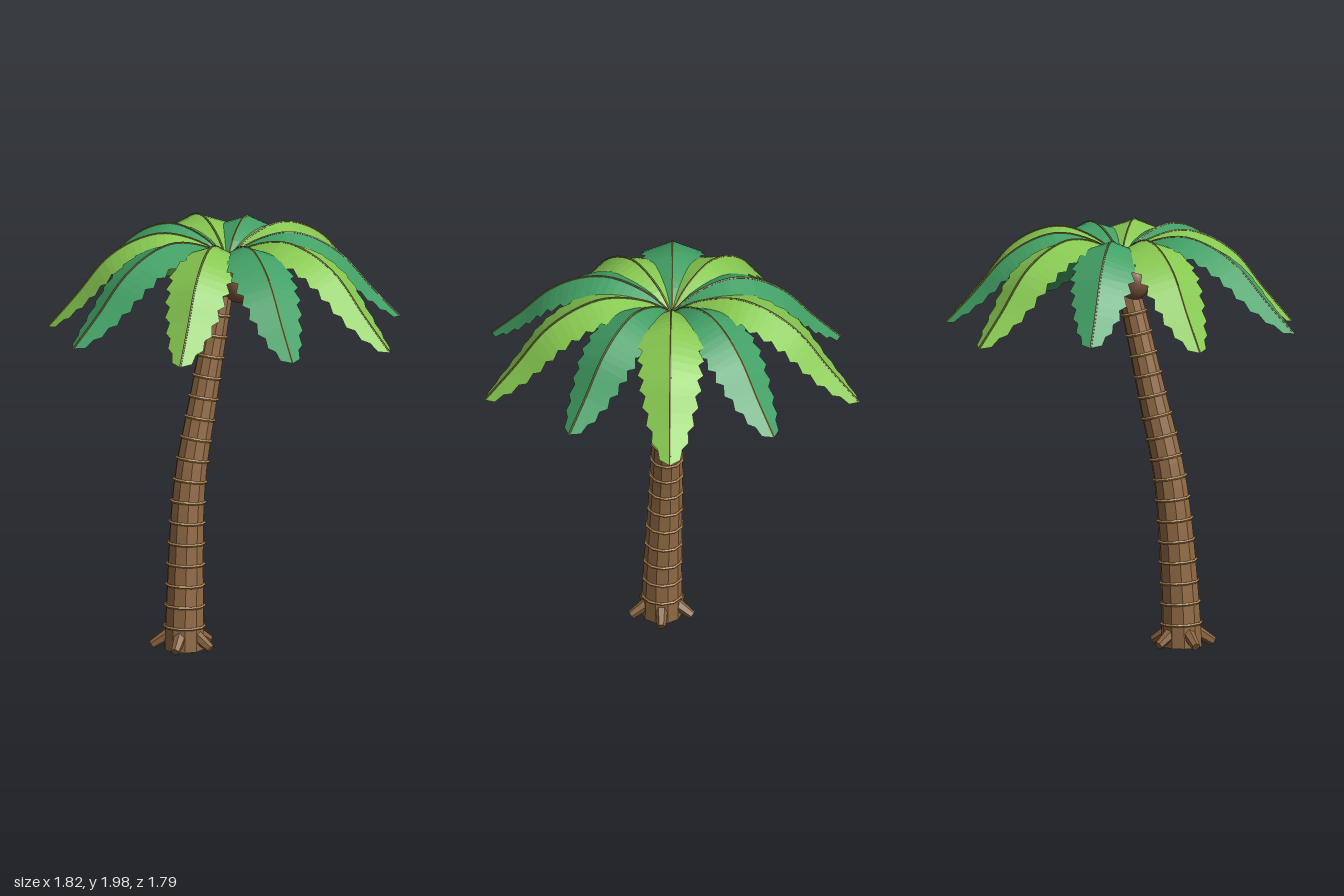
import * as THREE from 'three';

const mat = (color, flat = true) =>
  new THREE.MeshStandardMaterial({ color, flatShading: flat, side: THREE.DoubleSide });

const V = (x, y, z) => new THREE.Vector3(x, y, z);
const CROWN = V(0.02, 1.85, 0);

// Leaning trunk centre line and taper
const trunkLine = new THREE.CatmullRomCurve3([
  V(-0.28, 0, 0.05), V(-0.272, 0.25, 0.046), V(-0.23, 0.8, 0.028),
  V(-0.14, 1.2, 0.018), V(-0.045, 1.6, 0.01), V(0.02, 1.86, 0),
]);
const trunkRadius = (t) => 0.097 - 0.046 * t;
const UP = V(0, 1, 0);

// Frame perpendicular to the trunk at t
function trunkFrame(t) {
  return {
    p: trunkLine.getPointAt(t),
    q: new THREE.Quaternion().setFromUnitVectors(UP, trunkLine.getTangentAt(t)),
  };
}

function makeTrunk() {
  const geo = new THREE.CylinderGeometry(1, 1, 1, 10, 17);
  const pos = geo.attributes.position;
  const v = new THREE.Vector3();
  for (let i = 0; i < pos.count; i++) {
    v.fromBufferAttribute(pos, i);
    const t = THREE.MathUtils.clamp(v.y + 0.5, 0, 1);
    const { p, q } = trunkFrame(t);
    v.set(v.x, 0, v.z).multiplyScalar(trunkRadius(t)).applyQuaternion(q).add(p);
    pos.setXYZ(i, v.x, Math.max(v.y, 0.008), v.z);
  }
  geo.computeVertexNormals();
  const mesh = new THREE.Mesh(geo, mat(0x916a44));
  mesh.name = 'trunk';
  return mesh;
}

// Thin raised bands up the trunk
function makeRings() {
  const group = new THREE.Group();
  group.name = 'trunkRings';
  const material = mat(0xb98d52);
  for (let i = 0; i < 17; i++) {
    const t = (0.12 + i * 0.1007) / 1.9;
    const { p, q } = trunkFrame(t);
    const geo = new THREE.TorusGeometry(trunkRadius(t) + 0.001, 0.0075, 5, 10);
    geo.rotateX(Math.PI / 2);
    const ring = new THREE.Mesh(geo, material);
    ring.name = 'trunkRing';
    ring.position.copy(p);
    ring.quaternion.copy(q);
    group.add(ring);
  }
  return group;
}

// Five stubby roots
function makeRoots() {
  const group = new THREE.Group();
  group.name = 'roots';
  const material = mat(0x89633f);
  for (let i = 0; i < 5; i++) {
    const a = (i / 5) * Math.PI * 2;
    const out = V(Math.cos(a), 0, Math.sin(a));
    const from = out.clone().multiplyScalar(0.06).setY(0.085);
    const to = out.clone().multiplyScalar(0.153).setY(0.026);
    const dir = to.clone().sub(from);
    const root = new THREE.Mesh(new THREE.CylinderGeometry(0.021, 0.032, dir.length(), 6), material);
    root.name = 'root';
    root.quaternion.setFromUnitVectors(UP, dir.clone().normalize());
    root.position.copy(from).add(to).multiplyScalar(0.5).add(V(-0.28, 0, 0.05));
    group.add(root);
  }
  return group;
}

function makeCoconuts() {
  const group = new THREE.Group();
  group.name = 'coconuts';
  const geo = new THREE.SphereGeometry(0.073, 16, 12);
  const material = mat(0x7a5238, false);
  for (let i = 0; i < 4; i++) {
    const a = (i * Math.PI) / 2;
    const nut = new THREE.Mesh(geo, material);
    nut.name = 'coconut';
    nut.scale.y = 1.2;
    nut.position.set(0.026 + 0.075 * Math.cos(a), 1.748, 0.082 * Math.sin(a));
    group.add(nut);
  }
  return group;
}

// Arched leaf along +x: a ridge with two drooping saw-toothed halves, plus its rib
function makeFrond(length, tipY, leafMat, ribMat) {
  const L = length;
  const line = new THREE.CatmullRomCurve3([
    V(0, 0, 0), V(0.13 * L, 0.085, 0), V(0.34 * L, 0.138, 0), V(0.5 * L, 0.11, 0),
    V(0.67 * L, 0.02, 0), V(0.84 * L, (tipY - CROWN.y) * 0.5, 0), V(L, tipY - CROWN.y, 0),
  ]);
  const n = 26, positions = [], index = [];
  for (let i = 0; i <= n; i++) {
    const t = i / n;
    const p = line.getPointAt(t), d = line.getTangentAt(t);
    const tooth = i % 2 ? 1 : 0.84;
    const w = i === n ? 0 : (0.012 + 0.148 * Math.pow(Math.sin(Math.PI * t), 0.65)) * tooth;
    const drop = 0.36 * w, lean = i % 2 ? 0.012 : 0;
    for (const s of [-1, 0, 1]) {
      const k = Math.abs(s);
      positions.push(
        p.x + k * (drop * d.y + lean * d.x),
        p.y + k * (-drop * d.x + lean * d.y),
        s * w
      );
    }
    if (i < n) {
      const a = i * 3, b = a + 3;
      for (const j of [0, 1]) {
        index.push(a + j, a + j + 1, b + j, b + j, a + j + 1, b + j + 1);
      }
    }
  }
  const geo = new THREE.BufferGeometry();
  geo.setAttribute('position', new THREE.Float32BufferAttribute(positions, 3));
  geo.setIndex(index);
  geo.computeVertexNormals();
  const leaf = new THREE.Mesh(geo, leafMat);
  leaf.name = 'leafBlade';
  const rib = new THREE.Mesh(new THREE.TubeGeometry(line, 26, 0.005, 5), ribMat);
  rib.name = 'leafRib';
  const group = new THREE.Group();
  group.name = 'frond';
  group.add(leaf, rib);
  return group;
}

function makeCrown() {
  const group = new THREE.Group();
  group.name = 'crown';
  group.position.copy(CROWN);
  const light = mat(0x86c850), dark = mat(0x42a065), rib = mat(0x7d7a3a);
  // Counter-clockwise from +x, seen from above
  const lengths = [0.885, 0.84, 0.94, 0.84, 0.85, 0.93, 0.82, 0.9, 0.93, 0.82];
  lengths.forEach((length, i) => {
    const isLight = i % 2 === 0;
    const frond = makeFrond(length, isLight ? 1.535 : 1.57, isLight ? light : dark, rib);
    frond.rotation.y = (i * Math.PI) / 5;
    group.add(frond);
  });
  return group;
}

export function createModel() {
  const model = new THREE.Group();
  model.name = 'palmTree';
  model.add(makeTrunk(), makeRings(), makeRoots(), makeCoconuts(), makeCrown());
  return model;
}
